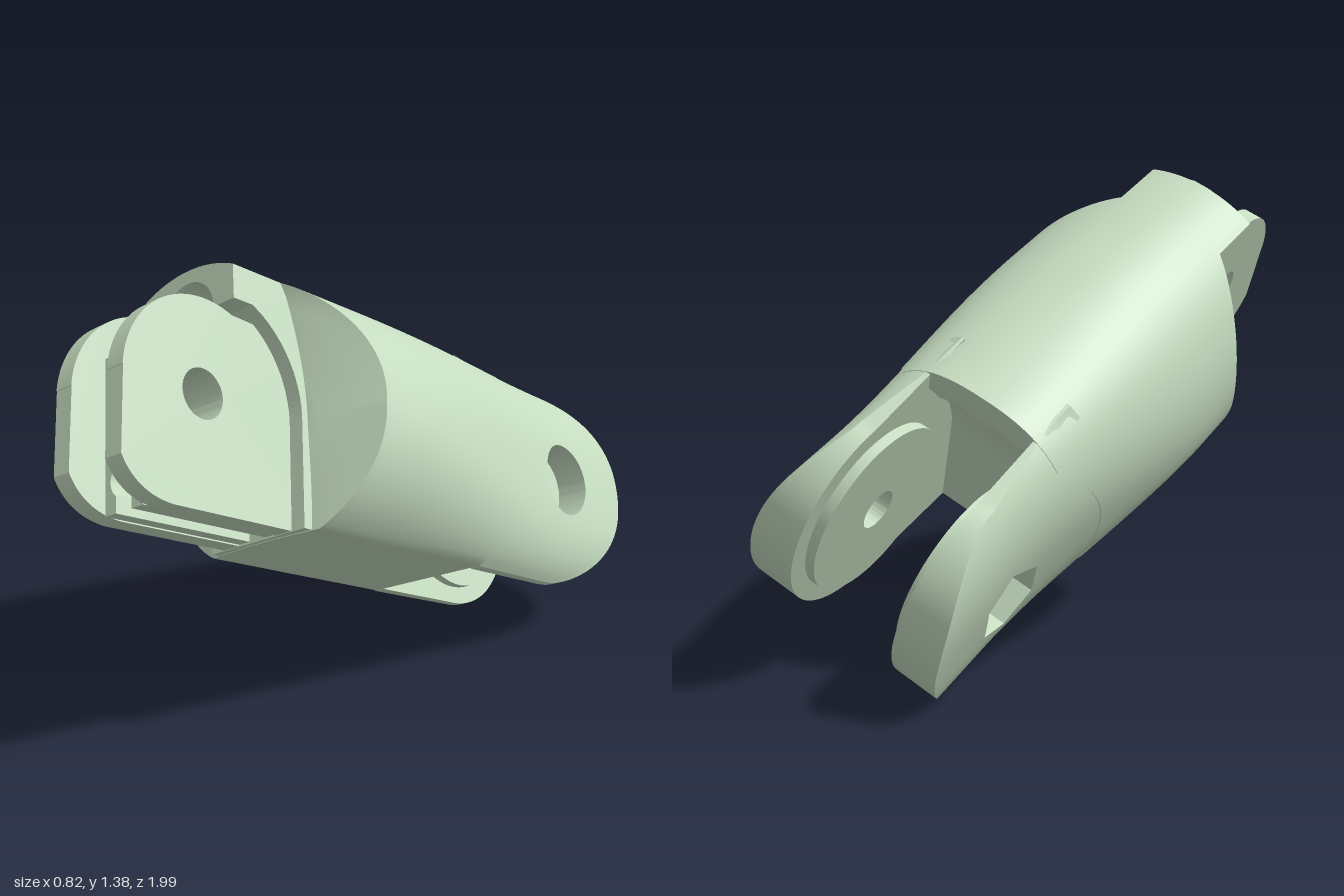
import * as THREE from 'three';
import { toCreasedNormals } from 'three/addons/utils/BufferGeometryUtils.js';

const HINGE_REAR = -0.69, HINGE_FRONT = 0.705, BASE = -0.313;
const lerp = THREE.MathUtils.lerp, clamp = THREE.MathUtils.clamp;

// Closed surface from rows of points; every row runs once round the axis
function loft(rows, flip = false, closed = false) {
  const n = rows[0].length, pos = rows.flat(2), index = [];
  const last = closed ? rows.length : rows.length - 1;
  for (let r = 0; r < last; r++) {
    const s = (r + 1) % rows.length;
    for (let i = 0; i < n; i++) {
      const j = (i + 1) % n;
      const a = r * n + i, b = r * n + j, c = s * n + j, d = s * n + i;
      if (flip) index.push(a, c, b, a, d, c);
      else index.push(a, b, c, a, c, d);
    }
  }
  const geo = new THREE.BufferGeometry();
  geo.setAttribute('position', new THREE.Float32BufferAttribute(pos, 3));
  geo.setIndex(index);
  return toCreasedNormals(geo, 0.55);
}

// Cross-section sizes: round in front, narrower and squarer at the rear, shallower below
function section(l, below) {
  const t = THREE.MathUtils.smoothstep(-l, -0.2, 0.75);
  return { a: lerp(0.41, 0.315, t), b: below ? 0.36 : lerp(0.42, 0.375, t), n: lerp(2, 2.7, t) };
}

// Outline point of the section, with a flat base
function rimPoint(angle, l) {
  const c = Math.cos(angle), s = Math.sin(angle);
  const { a, b, n } = section(l, s < 0);
  const r = Math.pow(Math.pow(Math.abs(c / a), n) + Math.pow(Math.abs(s / b), n), -1 / n);
  const k = s < 0 ? Math.min(r, BASE / s) : r;
  return [k * c, k * s];
}

// Scooped front end and hollow rear end, as lengths over the section
function frontEnd(p, u) {
  const w = clamp((Math.hypot(p, u) - 0.17) / 0.24, 0, 1);
  if (u <= 0) return HINGE_FRONT - 0.33 - 0.06 * w + 0.05 * (u / BASE) ** 2;
  const r = 0.33 + 0.06 * w + 0.06 * w * u / 0.37;
  return Math.min(0.55, HINGE_FRONT - Math.sqrt(Math.max(0, r * r - u * u)));
}
function rearEnd(p, u) {
  return u <= 0 ? HINGE_REAR + 0.36 : HINGE_REAR + Math.sqrt(Math.max(0.05, 0.1296 - u * u));
}

function bodyGeometry() {
  const n = 120, caps = 14, steps = 24, rows = [];
  const angles = Array.from({ length: n }, (_, i) => i / n * Math.PI * 2);
  const cap = (k, at, end) => angles.map(a => {
    const [p, u] = rimPoint(a, at);
    return [p * k, u * k, end(p * k, u * k)];
  });
  for (let k = 0; k < caps; k++) rows.push(cap(k / caps, -0.42, rearEnd));
  for (let t = 0; t <= steps; t++) {
    rows.push(angles.map(a => {
      const l = lerp(rearEnd(...rimPoint(a, -0.42)), frontEnd(...rimPoint(a, 0.4)), t / steps);
      return [...rimPoint(a, l), l];
    }));
  }
  for (let k = caps - 1; k >= 0; k--) rows.push(cap(k / caps, 0.4, frontEnd));
  return loft(rows);
}

// Rear lug with inner boss, through hole and outer recess (round or six-sided)
function lugGeometry(side, hex) {
  const n = 96, inner = 0.17, rows = [];
  const angles = Array.from({ length: n }, (_, i) => i / n * Math.PI * 2);
  const outline = a => {
    const c = Math.cos(a), s = Math.sin(a);
    if (s <= 0) return 0.315;
    const r = c > 0 ? 0.315 / Math.max(0.01, c - 0.15 * s) : 0.315 / Math.max(0.01, -c);
    return Math.min(r, 0.38 / s);
  };
  const recess = a => {
    if (!hex) return 0.115;
    const sector = Math.PI / 3;
    return 0.1 / Math.cos(((a % sector) + sector) % sector - sector / 2);
  };
  const outer = (u, l) => {
    const { a, b, n: e } = section(l, u < 0);
    return Math.max(inner + 0.01, a * Math.pow(Math.max(0, 1 - Math.pow(Math.abs(u / b), e)), 1 / e) - 0.003);
  };
  const row = (radius, depth) => rows.push(angles.map(a => {
    const r = radius(a), u = r * Math.cos(a), l = HINGE_REAR + r * Math.sin(a);
    return [side * (depth ?? outer(u, l)), u, l];
  }));
  row(outline, inner);
  for (let k = 0; k <= 14; k++) row(a => lerp(outline(a), recess(a), k / 14));
  row(recess, 0.21);
  row(() => 0.06, 0.21);
  row(() => 0.06, 0.14);
  row(() => 0.26, 0.14);
  row(() => 0.26, inner);
  return loft(rows, side < 0, true);
}

// Slab outlined in length and height, centred across the width
function slab(shape, width) {
  const geo = new THREE.ExtrudeGeometry(shape, { depth: width, bevelEnabled: false, curveSegments: 32 });
  geo.translate(0, 0, -width / 2).rotateY(-Math.PI / 2);
  return toCreasedNormals(geo, 0.5);
}

// Bar outlined across the width, running along the length
function bar(shape, from, to) {
  const geo = new THREE.ExtrudeGeometry(shape, { depth: to - from, bevelEnabled: false, curveSegments: 24 });
  geo.translate(0, 0, from);
  return toCreasedNormals(geo, 0.5);
}

function pinHole() {
  return new THREE.Path().absarc(HINGE_FRONT + 0.01, 0.005, 0.07, 0, Math.PI * 2, true);
}

function plateGeometry() {
  const s = new THREE.Shape();
  s.moveTo(0.33, -0.309);
  s.lineTo(0.82, -0.309);
  s.quadraticCurveTo(0.94, -0.3, 0.985, -0.21);
  s.lineTo(0.978, 0.02);
  s.absarc(HINGE_FRONT, 0, 0.275, 0.08, Math.PI * 0.62, false);
  s.lineTo(0.5, 0.25);
  s.lineTo(0.33, 0.2);
  s.holes.push(pinHole());
  return slab(s, 0.06);
}

// Web round the hinge pin, between the plates
function webGeometry() {
  const s = new THREE.Shape();
  s.moveTo(0.33, -0.14);
  s.lineTo(0.87, -0.14);
  s.lineTo(0.87, 0.12);
  s.lineTo(0.33, 0.12);
  s.holes.push(pinHole());
  return slab(s, 0.145);
}

// Lower web with a keyhole channel open to the base
function channelGeometry() {
  const s = new THREE.Shape();
  s.moveTo(-0.0725, -0.14);
  s.lineTo(-0.0725, -0.305);
  s.lineTo(-0.03, -0.305);
  s.absarc(0, -0.22, 0.05, Math.PI * 1.3, -Math.PI * 0.3, true);
  s.lineTo(0.03, -0.305);
  s.lineTo(0.0725, -0.305);
  s.lineTo(0.0725, -0.14);
  return bar(s, 0.33, 0.87);
}

// Core with a rounded clearance behind the hinge
function coreGeometry() {
  const s = new THREE.Shape();
  s.moveTo(0.2, -0.311);
  s.lineTo(0.405, -0.311);
  s.absarc(HINGE_FRONT, 0, 0.31, Math.PI, 1.93, true);
  s.lineTo(0.2, 0.29);
  return slab(s, 0.354);
}

// Top tongue with an arched groove beneath
function tongueGeometry() {
  const r = 0.418, half = Math.asin(0.177 / r);
  const s = new THREE.Shape();
  s.moveTo(-0.177, 0.28);
  s.lineTo(-0.1, 0.28);
  s.absarc(0, 0.28, 0.1, Math.PI, 0, true);
  s.lineTo(0.177, 0.28);
  s.absarc(0, 0, r, Math.PI / 2 - half, Math.PI / 2 + half, false);
  return bar(s, 0.3, 0.64);
}

export function createModel() {
  const model = new THREE.Group();
  model.name = 'hingedSegment';
  const green = new THREE.MeshStandardMaterial({ color: 0xc5dcc0 });
  green.name = 'pale green';

  const segment = new THREE.Group();
  segment.name = 'tiltedSegment';
  const add = (name, geo, x = 0) => {
    const mesh = new THREE.Mesh(geo, green);
    mesh.name = name;
    mesh.position.x = x;
    segment.add(mesh);
  };
  add('body', bodyGeometry());
  add('core', coreGeometry());
  add('tongue', tongueGeometry());
  add('leftRearLug', lugGeometry(1, false));
  add('rightRearLug', lugGeometry(-1, true));
  const plate = plateGeometry();
  add('leftHingePlate', plate, 0.1);
  add('rightHingePlate', plate, -0.1);
  add('hingeWeb', webGeometry());
  add('cordChannel', channelGeometry());

  // Pitch, slight yaw and roll of the whole segment
  const along = new THREE.Vector3(0.045, 0.457, 0.889).normalize();
  const up = new THREE.Vector3(0, 1, 0).addScaledVector(along, -along.y).normalize();
  const across = new THREE.Vector3().crossVectors(up, along);
  const roll = THREE.MathUtils.degToRad(31);
  const pin = across.clone().multiplyScalar(Math.cos(roll)).addScaledVector(up, Math.sin(roll));
  const top = new THREE.Vector3().crossVectors(along, pin);
  segment.quaternion.setFromRotationMatrix(new THREE.Matrix4().makeBasis(pin, top, along));
  model.add(segment);

  // Stand on the ground, centred
  model.updateMatrixWorld(true);
  const box = new THREE.Box3().setFromObject(model, true);
  const mid = box.getCenter(new THREE.Vector3());
  segment.position.set(-mid.x, -box.min.y, -mid.z);
  return model;
}
